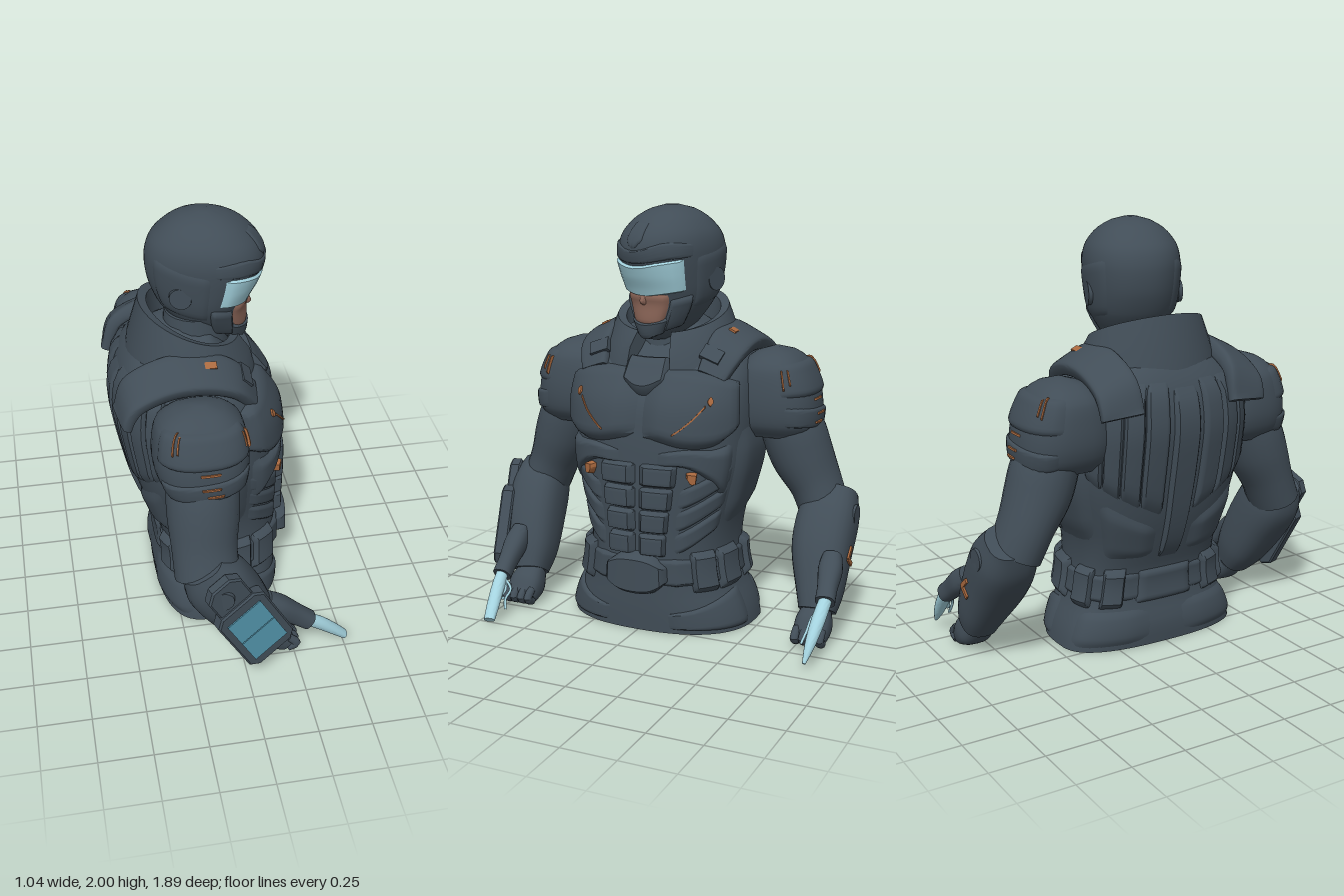
import * as THREE from 'three';
import { toCreasedNormals } from 'three/addons/utils/BufferGeometryUtils.js';

const V = (x, y, z) => new THREE.Vector3(x, y, z);
const { lerp, degToRad: rad } = THREE.MathUtils;

// Smooth interpolation through a list of number rows
function rowAt(rows, t) {
  const n = rows.length - 1, k = Math.max(0, Math.min(n - 1, Math.floor(t))), f = t - k;
  const p = (i) => rows[Math.max(0, Math.min(n, i))];
  return rows[0].map((_, c) => {
    const a = p(k - 1)[c], b = p(k)[c], d = p(k + 1)[c], e = p(k + 2)[c];
    return b + 0.5 * f * (d - a + f * (2 * a - 5 * b + 4 * d - e + f * (3 * (b - d) + e - a)));
  });
}

// Surface from a rule fn(u index, v index) -> Vector3; faces look along du x dv
function grid(nu, nv, fn, crease = 0.7) {
  const pos = [], idx = [];
  for (let j = 0; j <= nv; j++) for (let i = 0; i <= nu; i++) pos.push(...fn(i, j).toArray());
  for (let j = 0; j < nv; j++) for (let i = 0; i < nu; i++) {
    const a = j * (nu + 1) + i, d = a + nu + 1;
    idx.push(a, a + 1, d + 1, a, d + 1, d);
  }
  const g = new THREE.BufferGeometry();
  g.setAttribute('position', new THREE.Float32BufferAttribute(pos, 3));
  g.setIndex(idx);
  return toCreasedNormals(g, crease);
}

const pw = (v, e) => Math.sign(v) * Math.pow(Math.abs(v), e);

// Upright body surface: rows are [y, back x, front x, half width], angle 0 faces +x
function makeSurf(rows, cx, cz, e, eBack = e) {
  return (a, y) => {
    let k = 0;
    while (k < rows.length - 2 && y > rows[k + 1][0]) k++;
    const [, b, f, w] = rowAt(rows, k + (y - rows[k][0]) / (rows[k + 1][0] - rows[k][0]));
    const c = Math.cos(a);
    return V(cx + (c > 0 ? pw(c, e) * (f - cx) : pw(c, eBack) * (cx - b)), y, cz + w * pw(Math.sin(a), e));
  };
}

// Closed solid of a body surface
function solid(surf, y0, y1, cx, cz, nu = 56, nv = 36) {
  return grid(nu, nv + 2, (i, j) => {
    if (j === 0) return V(cx, y0, cz);
    if (j === nv + 2) return V(cx, y1, cz);
    return surf(-2 * Math.PI * (i % nu) / nu, lerp(y0, y1, (j - 1) / nv));
  });
}

// Raised plate on a surface; y0 and y1 may be lists that curve from the first angle to the second
function plate(surf, a0, a1, y0, y1, thick, s = 1, k = 3.2) {
  const n = 14;
  const edge = (y, f) => (Array.isArray(y) ? rowAt(y.map((v) => [v]), f * (y.length - 1))[0] : y);
  return grid(n, n, (i, j) => {
    const u = i / n, v = j / n, f = s > 0 ? 1 - u : u;
    const a = s * rad(lerp(a0, a1, f)), y = lerp(edge(y0, f), edge(y1, f), v);
    const p = surf(a, y), d = 0.004;
    const nrm = surf(a - d, y).sub(surf(a + d, y)).cross(surf(a, y + d).sub(surf(a, y - d))).normalize();
    const h = Math.min(1, Math.sin(Math.PI * u) * k) * Math.min(1, Math.sin(Math.PI * v) * k);
    return p.addScaledVector(nrm, -0.006 + (thick + 0.006) * h);
  });
}

// Limb along sections [x, y, z, side radius, depth radius]
function limb(rows, e = 1, ref = V(0, 0, 1), sub = 6, nu = 24) {
  const nv = (rows.length - 1) * sub;
  const at = (t) => V(...rowAt(rows, t).slice(0, 3));
  return grid(nu, nv + 2, (i, j) => {
    const t = Math.max(0, Math.min(nv, j - 1)) / sub, r = rowAt(rows, t), p = V(r[0], r[1], r[2]);
    if (j === 0 || j === nv + 2) return p;
    const dir = at(Math.min(rows.length - 1, t + 0.05)).sub(at(Math.max(0, t - 0.05))).normalize();
    const side = ref.clone().addScaledVector(dir, -ref.dot(dir)).normalize();
    const up = dir.clone().cross(side), th = 2 * Math.PI * (i % nu) / nu;
    return p.addScaledVector(side, r[3] * pw(Math.cos(th), e)).addScaledVector(up, r[4] * pw(Math.sin(th), e));
  });
}

export function createModel() {
  const model = new THREE.Group();
  const mat = (name, color) => Object.assign(new THREE.MeshStandardMaterial({ color }), { name });
  const armor = mat('dark slate armor', 0x414d57), glow = mat('pale blue', 0xa4d3df);
  const glass = mat('screen blue', 0x5293aa), copper = mat('copper', 0xa9693f), skin = mat('skin', 0x8c6658);
  const add = (name, geo, m = armor, parent = model) => {
    const mesh = new THREE.Mesh(geo, m);
    mesh.name = name;
    parent.add(mesh);
    return mesh;
  };

  // Torso
  const torso = makeSurf([
    [0, -0.33, 0.28, 0.465], [0.1, -0.335, 0.285, 0.44], [0.22, -0.31, 0.285, 0.385], [0.35, -0.31, 0.285, 0.36],
    [0.5, -0.36, 0.285, 0.365], [0.65, -0.41, 0.285, 0.4], [0.8, -0.445, 0.28, 0.435], [0.95, -0.475, 0.27, 0.445],
    [1.1, -0.495, 0.24, 0.445], [1.25, -0.475, 0.14, 0.42], [1.34, -0.43, 0.06, 0.34], [1.42, -0.36, 0, 0.2],
    [1.48, -0.27, -0.03, 0.12]], -0.08, 0, 0.82, 0.6);
  add('torso', solid(torso, 0, 1.48, -0.08, 0));
  add('breastbonePlate', plate(torso, -12, 12, [1.18, 1.13, 1.18], 1.29, 0.05));
  add('spine', plate(torso, 174, 186, 0.42, 1.3, 0.024));
  add('belt', plate(torso, -180, 180, 0.23, 0.37, 0.022));
  add('buckle', plate(torso, -21, 21, [0.26, 0.19, 0.19, 0.26], [0.33, 0.39, 0.39, 0.33], 0.06));
  add('backPouch', plate(torso, 160, 200, 0.21, 0.38, 0.02));

  for (const s of [1, -1]) {
    // Chest, with copper strip and dot
    add('chestPlate', plate(torso, 0.5, 70, [0.94, 0.9, 0.91, 0.99], [1.26, 1.25, 1.2], 0.042, s));
    add('chestStrip', plate(torso, 15, 41, [0.95, 1.02, 1.1], [0.962, 1.032, 1.114], 0.047, s), copper);
    add('chestDot', plate(torso, 38.5, 43.5, [1.11, 1.088, 1.11], [1.11, 1.135, 1.11], 0.05, s), copper);
    // Abdomen, ribs and flanks
    for (let i = 0; i < 4; i++)
      add('abdomenMuscle', plate(torso, 0.3, 19 + i, 0.375 + 0.112 * i, 0.487 + 0.112 * i, 0.036, s, 2.2));
    add('ribArch', plate(torso, 8, 66, [0.81, 0.81, 0.74, 0.62], [0.88, 0.9, 0.9, 0.93], 0.026, s, 2));
    for (let i = 0; i < 3; i++)
      add('ribPlate', plate(torso, 23, 68, [0.38 + 0.11 * i, 0.5 + 0.11 * i], [0.49 + 0.11 * i, 0.61 + 0.11 * i], 0.014, s, 1.8));
    add('ribMark', plate(torso, 28, 36, [0.77, 0.735, 0.74], [0.79, 0.795, 0.79], 0.034, s), copper);
    add('flank', plate(torso, 66, 118, [0.48, 0.53], 1.0, 0.02, s, 1.5));
    // Belt pouches and hips
    for (const a of [38, 63, 92, 126]) add('pouch', plate(torso, a, a + 24, 0.2, 0.4, 0.038, s));
    add('hipPlate', plate(torso, 14, 84, [0.02, 0.01], [0.1, 0.2], 0.014, s));
    add('seatPlate', plate(torso, 100, 176, 0.01, 0.2, 0.012, s, 1.5));
    // Back shell in strips
    for (let i = 0; i < 4; i++)
      add('backStrip', plate(torso, 112 + 15 * i, 127 + 15 * i, [0.86 - 0.05 * i, 0.81 - 0.05 * i], 1.32, 0.02, s));
    add('lowerBack', plate(torso, 120, 172, 0.44, [0.78, 0.62], 0.016, s, 1.5));

    // Shoulder strap and its buckle
    add('shoulderStrap', limb([[-0.485, 1.18, 0.33 * s, 0.1, 0.025], [-0.43, 1.3, 0.335 * s, 0.1, 0.035],
      [-0.28, 1.37, 0.335 * s, 0.1, 0.04], [-0.12, 1.38, 0.335 * s, 0.1, 0.04], [0.02, 1.33, 0.33 * s, 0.09, 0.035],
      [0.11, 1.22, 0.3 * s, 0.07, 0.03]], 0.4, V(0, -0.45 * s, 0.9)));
    const clip = add('strapClip', new THREE.BoxGeometry(0.07, 0.03, 0.1));
    clip.position.set(0.08, 1.32, 0.29 * s);
    clip.rotation.set(0.35 * s, 0, -0.85);
    const strapMark = add('strapMark', new THREE.BoxGeometry(0.07, 0.009, 0.035), copper);
    strapMark.position.set(-0.09, 1.418, 0.335 * s);
    strapMark.rotation.x = 0.46 * s;

    // Shoulder pad with copper slashes; the left one sits further back
    const px = s > 0 ? -0.16 : -0.22;
    const pad = makeSurf([[0.92, -0.14, 0.16, 0.19], [0.97, -0.19, 0.2, 0.215], [1.05, -0.215, 0.215, 0.22],
      [1.15, -0.215, 0.21, 0.205], [1.25, -0.195, 0.185, 0.16], [1.31, -0.13, 0.12, 0.1],
      [1.335, -0.03, 0.03, 0.02]].map(([y, b, f, w]) => [y, px + b, px + f, w]), px, 0.5 * s, 0.8);
    add('shoulderPad', solid(pad, 0.92, 1.335, px, 0.5 * s, 40, 20));
    add('shoulderPadRim', plate(pad, 20, 160, [0.98, 0.94], [1.08, 1.04], 0.012, s));
    add('shoulderPadTop', plate(pad, 15, 165, 1.12, 1.28, 0.012, s));
    for (const [a0, a1, y0, y1, h] of [[24, 27, 1.15, 1.25, 0.018], [34, 37, 1.17, 1.25, 0.018], [126, 129, 1.18, 1.28, 0.018],
      [119, 122, 1.19, 1.27, 0.018], [78, 96, 1.095, 1.108, 0.006], [78, 96, 1.03, 1.042, 0.018], [74, 92, 0.99, 1.002, 0.018]])
      add('shoulderMark', plate(pad, a0, a1, y0, y1, h, s), copper);
  }

  // Neck and high collar, open at the front
  add('neck', new THREE.CylinderGeometry(0.14, 0.17, 0.3, 24)).position.set(-0.1, 1.38, 0);
  const rings = [[1.24, 0.31, 0.36, 0], [1.34, 0.285, 0.33, 0.35], [1.41, 0.23, 0.275, 1], [1.405, 0.19, 0.235, 0.95], [1.24, 0.16, 0.19, 0]];
  add('collar', grid(42, 5, (i, j) => {
    const a = rad(lerp(342, 18, Math.max(0, Math.min(40, i - 1)) / 40)), back = (1 - Math.cos(a)) / 2;
    const [y, rx, rz, lift] = i === 0 || i === 42 ? [1.34, 0.23, 0.27, 0.4] : rings[j % 5];
    return V(-0.13 + Math.cos(a) * rx, y + lift * 0.18 * back, Math.sin(a) * rz);
  }));

  // Head, turned a little to its right
  const head = new THREE.Group();
  head.name = 'head';
  head.position.set(-0.05, 0, -0.03);
  head.rotation.y = -0.33;
  model.add(head);
  const skull = makeSurf([[1.375, -0.02, 0.14, 0.05], [1.4, -0.06, 0.175, 0.085], [1.47, -0.13, 0.185, 0.14],
    [1.55, -0.2, 0.185, 0.185], [1.61, -0.235, 0.205, 0.205], [1.68, -0.26, 0.24, 0.215], [1.76, -0.27, 0.268, 0.222],
    [1.82, -0.265, 0.268, 0.222], [1.88, -0.24, 0.24, 0.205], [1.94, -0.18, 0.18, 0.16], [1.98, -0.115, 0.11, 0.1],
    [2, -0.03, 0.03, 0.03]], 0, 0, 0.92);
  const onHead = (name, m, ...p) => add(name, plate(skull, ...p), m, head);
  add('helmet', solid(skull, 1.375, 2, 0, 0), armor, head);
  onHead('visor', glow, -65, 65, [1.61, 1.595, 1.58, 1.595, 1.61], [1.765, 1.75, 1.73, 1.75, 1.765], 0.012, 1, 5);
  onHead('face', skin, -40, 40, 1.44, 1.6, 0.012);
  onHead('nose', skin, -6, 6, 1.53, 1.6, 0.03, 1, 1);
  onHead('chinGuard', armor, -48, 48, [1.41, 1.385, 1.41], [1.49, 1.46, 1.49], 0.02);
  onHead('brow', armor, -80, 80, [1.77, 1.755, 1.735, 1.755, 1.77], [1.83, 1.84, 1.8, 1.84, 1.83], 0.008);
  onHead('crownRidge', armor, -12, 12, [1.84, 1.8, 1.84], 1.93, 0.006);
  for (const s of [1, -1]) {
    onHead('cheekGuard', armor, 38, 74, [1.41, 1.44], [1.575, 1.6], 0.016, s);
    onHead('sidePanel', armor, 74, 140, [1.52, 1.56], [1.78, 1.84], 0.006, s);
    const ear = add('earDisc', new THREE.CylinderGeometry(0.05, 0.055, 0.02, 28), armor, head);
    ear.position.set(-0.07, 1.66, 0.21 * s);
    ear.rotation.x = Math.PI / 2;
  }

  // Arms: upper arm, forearm, hand and wrist blade
  const arms = [
    { s: 1, upper: [[-0.16, 1.1, 0.5, 0.12, 0.14], [-0.165, 0.95, 0.58, 0.15, 0.165], [-0.17, 0.82, 0.63, 0.15, 0.165], [-0.175, 0.68, 0.69, 0.125, 0.15], [-0.17, 0.56, 0.74, 0.12, 0.15]],
      fore: [[-0.2, 0.64, 0.76, 0.1, 0.1], [-0.14, 0.54, 0.755, 0.13, 0.15], [-0.05, 0.4, 0.74, 0.135, 0.15], [0.04, 0.24, 0.71, 0.115, 0.125], [0.1, 0.14, 0.69, 0.08, 0.09]],
      hand: [0.17, 0.07, 0.68], base: [0.1, 0.35, 0.74], tip: [0.32, 0.18, 0.73], end: [0.51, 0.015, 0.69] },
    { s: -1, upper: [[-0.22, 1.1, -0.5, 0.12, 0.14], [-0.23, 0.95, -0.58, 0.15, 0.165], [-0.24, 0.82, -0.63, 0.15, 0.165], [-0.25, 0.68, -0.7, 0.125, 0.15], [-0.24, 0.56, -0.75, 0.12, 0.14]],
      fore: [[-0.28, 0.64, -0.79, 0.11, 0.1], [-0.21, 0.54, -0.785, 0.14, 0.14], [-0.11, 0.4, -0.785, 0.14, 0.14], [-0.01, 0.23, -0.81, 0.11, 0.11], [0.04, 0.14, -0.815, 0.085, 0.09]],
      hand: [0.1, 0.07, -0.815], base: [0.0, 0.4, -0.87], tip: [0.2, 0.25, -0.9], end: [0.41, 0.03, -0.875] }];
  for (const { s, upper, fore, hand, base, tip, end } of arms) {
    add('upperArm', limb(upper));
    add('forearm', limb(fore, 0.75));
    const [hx, hy, hz] = hand;
    add('hand', limb([[hx - 0.07, hy + 0.08, hz, 0.065, 0.06], [hx - 0.01, hy + 0.02, hz, 0.085, 0.075], [hx + 0.05, hy - 0.03, hz, 0.075, 0.05]], 0.7));
    for (let i = 0; i < 4; i++) {
      const z = hz - 0.06 + 0.04 * i;
      add('finger', limb([[hx + 0.05, hy + 0.02, z, 0.019, 0.019], [hx + 0.09, hy - 0.02, z, 0.021, 0.022], [hx + 0.05, hy - 0.045, z, 0.019, 0.02]], 1, V(0, 0, 1), 4, 10));
    }
    const disc = add('elbowDisc', new THREE.CylinderGeometry(0.05, 0.065, 0.05, 24));
    disc.position.set(fore[1][0] + 0.01, 0.55, s * 0.9);
    disc.rotation.x = s * Math.PI / 2;
    const mix = (t, dy = 0) => [lerp(tip[0], end[0], t), lerp(tip[1], end[1], t) + dy, lerp(tip[2], end[2], t)];
    const tube = (t) => base.map((b, i) => lerp(b, tip[i], t));
    add('bladeHousing', limb([[...base, 0.045, 0.05], [...tube(0.3), 0.055, 0.058], [...tube(0.7), 0.045, 0.05], [...tip, 0.045, 0.045]], 0.8));
    add('blade', limb([[...mix(-0.1), 0.028, 0.03], [...mix(0.3, 0.008), 0.032, 0.032], [...mix(0.7, 0.006), s > 0 ? 0.032 : 0.024, 0.026],
      [...mix(1), s > 0 ? 0.028 : 0.008, s > 0 ? 0.02 : 0.008]]), glow);
    for (const r of [0.4, 0.65]) {
      const z = tip[2] + (s > 0 ? -0.11 : 0.07) * r;
      const path = new THREE.CatmullRomCurve3([V(...mix(0)), V(...mix(0.2, -0.02)).setZ(z), V(...mix(0.38, -0.03)).setZ(z + 0.01),
        V(...mix(r, -0.02)).setZ(z - 0.02 * s)]);
      add('strand', new THREE.TubeGeometry(path, 16, 0.007, 6), glow);
    }
  }

  // Screen on the right forearm
  const panel = new THREE.Group();
  panel.name = 'forearmScreen';
  const out = V(0.3, 0.04, 0.95).normalize(), down = V(0.47, -0.87, -0.11);
  down.addScaledVector(out, -down.dot(out)).normalize();
  panel.quaternion.setFromRotationMatrix(new THREE.Matrix4().makeBasis(out.clone().cross(down).negate().negate(), down.clone().negate(), out));
  panel.position.set(0.025, 0.325, 0.87);
  model.add(panel);
  const slab = (w, h, c, depth) => new THREE.ExtrudeGeometry(new THREE.Shape([[-w, -h + c], [-w + c, -h], [w - c, -h], [w, -h + c],
    [w, h - c], [w - c, h], [-w + c, h], [-w, h - c]].map((p) => new THREE.Vector2(...p))), { depth, bevelSize: 0.008, bevelThickness: 0.008, bevelSegments: 1 });
  add('screenCase', slab(0.125, 0.195, 0.035, 0.05), armor, panel).position.z = -0.03;
  add('screenBracket', slab(0.085, 0.1, 0.04, 0.04), armor, panel).position.set(0, 0.25, -0.035);
  for (const s of [1, -1])
    add('screenGlass', new THREE.BoxGeometry(0.19, 0.144, 0.008), glass, panel).position.set(0, s * 0.075, 0.03);

  // Copper chevron on the left forearm
  for (const s of [1, -1]) {
    const bar = add('forearmChevron', new THREE.BoxGeometry(0.07, 0.022, 0.009), copper);
    bar.position.set(-0.08, 0.38 + s * 0.02, -0.929);
    bar.rotation.z = -s * 0.7;
  }
  return model;
}
